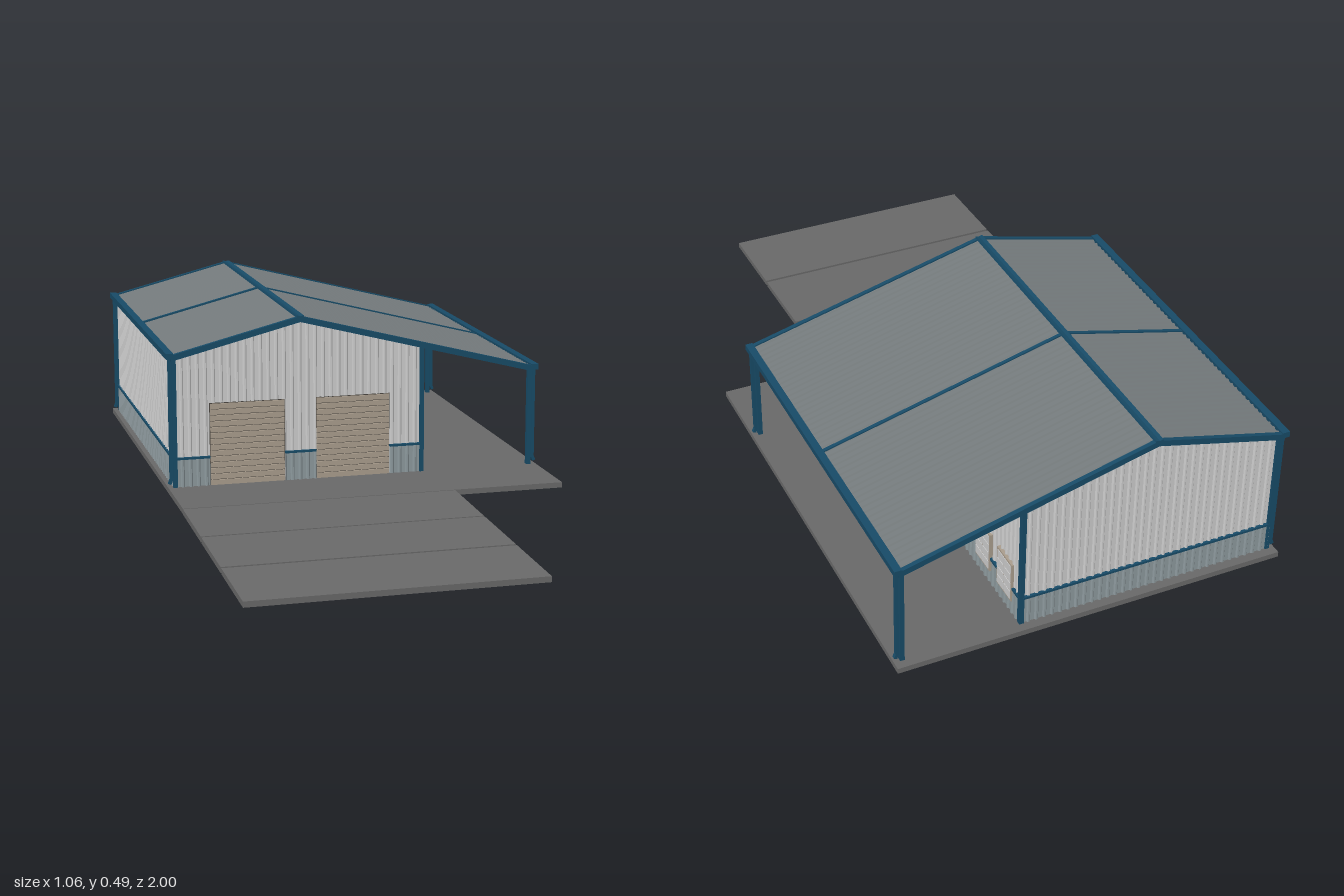
import * as THREE from 'three';

const material = (color, side = THREE.FrontSide) =>
  new THREE.MeshStandardMaterial({ color, side, flatShading: true });

// Main dimensions
const LEFT = -0.51, RIGHT = 0.19, FRONT = 0.015, BACK = -0.97, FLOOR = 0.03;
const RIDGE_X = -0.16, RIDGE_Y = 0.485, EAVE_L = -0.52, EAVE_R = 0.52;
const ROOF_FRONT = 0.025, ROOF_BACK = -0.98, BAND = 0.11, DOOR_TOP = 0.26;
const roofY = (x) => RIDGE_Y - Math.abs(x - RIDGE_X) * (x < RIDGE_X ? 0.255 : 0.257);
const V = (x, y, z) => new THREE.Vector3(x, y, z);

export function createModel() {
  const root = new THREE.Group();
  const blue = material(0x174a66), tan = material(0xa89c8c), dark = material(0x4a4640);
  const concrete = material(0x686868), glass = material(0xcccccc);
  const wallMat = material(0xcccccc, THREE.DoubleSide);
  const lowerMat = material(0x8c989c, THREE.DoubleSide);
  const roofMat = material(0x747a7c, THREE.DoubleSide);

  const add = (name, geometry, mat, parent = root) => {
    const mesh = new THREE.Mesh(geometry, mat);
    mesh.name = name;
    parent.add(mesh);
    return mesh;
  };
  const group = (name) => {
    const g = new THREE.Group();
    g.name = name;
    root.add(g);
    return g;
  };
  const box = (name, mat, x0, x1, y0, y1, z0, z1, parent) => {
    const m = add(name, new THREE.BoxGeometry(x1 - x0, y1 - y0, z1 - z0), mat, parent);
    m.position.set((x0 + x1) / 2, (y0 + y1) / 2, (z0 + z1) / 2);
    return m;
  };
  // Straight bar between two points
  const beam = (name, mat, p, q, w, h, parent) => {
    const m = add(name, new THREE.BoxGeometry(w, h, p.distanceTo(q)), mat, parent);
    m.position.copy(p).lerp(q, 0.5);
    m.lookAt(q);
    return m;
  };
  // Ribbed metal sheet between edge curves a(u) and b(u), ribs raised along n
  const sheet = (name, mat, u0, u1, a, b, n, parent, pitch = 0.022, depth = 0.004) => {
    const stops = [u0, u1];
    for (let k = Math.floor(u0 / pitch); k * pitch < u1; k++)
      for (const f of [0, 0.5, 0.65, 0.85]) {
        const u = (k + f) * pitch;
        if (u > u0 && u < u1) stops.push(u);
      }
    stops.sort((s, t) => s - t);
    const pos = [], index = [];
    stops.forEach((u, i) => {
      const f = u / pitch - Math.floor(u / pitch + 1e-6);
      const d = f > 0.6 && f < 0.9 ? depth : 0;
      for (const p of [a(u), b(u)]) pos.push(...p.addScaledVector(n, d).toArray());
      if (i) index.push(2 * i - 2, 2 * i, 2 * i - 1, 2 * i, 2 * i + 1, 2 * i - 1);
    });
    const g = new THREE.BufferGeometry();
    g.setAttribute('position', new THREE.Float32BufferAttribute(pos, 3));
    g.setIndex(index);
    g.computeVertexNormals();
    return add(name, g, mat, parent);
  };

  // Concrete floor and sloping driveway panels
  box('floorSlab', concrete, -0.53, 0.53, 0.015, FLOOR, -1, 0.237);
  const drive = group('driveway');
  const driveY = (z) => 0.023 - (z - 0.24) * 0.0195;
  for (const [z0, z1] of [[0.243, 0.489], [0.496, 0.741], [0.75, 1]])
    beam('drivewayPanel', concrete, V(-0.156, driveY(z0), z0), V(-0.156, driveY(z1), z1), 0.75, 0.015, drive);

  // Gable and side walls: upper sheets, darker lower panels and blue band
  const walls = group('walls');
  const endWall = (z, dir, x0, x1, y0) => {
    const n = V(0, 0, dir);
    for (const [s, t] of [[x0, Math.min(x1, RIDGE_X)], [Math.max(x0, RIDGE_X), x1]])
      if (t > s) sheet('gableSheet', wallMat, s, t, (x) => V(x, y0, z), (x) => V(x, roofY(x) - 0.004, z), n, walls);
    if (y0 > BAND) return;
    const zo = z + dir * 0.003;
    sheet('lowerPanel', lowerMat, x0, x1, (x) => V(x, FLOOR, zo), (x) => V(x, BAND, zo), n, walls);
    box('wallBand', blue, x0, x1, BAND - 0.003, BAND + 0.003, z - 0.008, z + 0.008, walls);
  };
  const sideWall = (x, dir, z0, z1, y0 = FLOOR) => {
    const n = V(dir, 0, 0), xo = x + dir * 0.003;
    sheet('sideSheet', wallMat, z0, z1, (z) => V(x, y0, z), (z) => V(x, roofY(x) - 0.004, z), n, walls);
    if (y0 > BAND) return;
    sheet('lowerPanel', lowerMat, z0, z1, (z) => V(xo, FLOOR, z), (z) => V(xo, BAND, z), n, walls);
    box('wallBand', blue, x - 0.008, x + 0.008, BAND - 0.003, BAND + 0.003, z0, z1, walls);
  };
  const bays = [[-0.413, -0.202], [-0.114, 0.097]];
  let x = LEFT;
  for (const [d0, d1] of bays) {
    endWall(FRONT, 1, x, d0, FLOOR);
    endWall(FRONT, 1, d0, d1, DOOR_TOP);
    x = d1;
  }
  endWall(FRONT, 1, x, RIGHT, FLOOR);
  endWall(BACK, -1, LEFT, RIGHT, FLOOR);
  sideWall(LEFT, -1, BACK, FRONT);
  sideWall(RIGHT, 1, BACK, -0.113);
  sideWall(RIGHT, 1, -0.113, -0.037, 0.185);
  sideWall(RIGHT, 1, -0.037, FRONT);

  // Roller doors made of stacked slats
  for (const [d0, d1] of bays) {
    const door = group('rollerDoor'), count = 14, h = (DOOR_TOP - FLOOR) / count;
    box('doorBacking', dark, d0, d1, FLOOR, DOOR_TOP, FRONT - 0.006, FRONT, door);
    for (let i = 0; i < count; i++) {
      const y = FLOOR + i * h;
      box('doorSlat', tan, d0 + 0.002, d1 - 0.002, y, y + h * 0.86, FRONT - 0.002, FRONT + 0.004, door);
    }
  }

  // Side door with a small window
  const door = group('sideDoor');
  box('doorFrame', dark, RIGHT - 0.005, RIGHT + 0.005, FLOOR, 0.185, -0.113, -0.037, door);
  box('doorLeaf', tan, RIGHT, RIGHT + 0.008, FLOOR, 0.181, -0.109, -0.041, door);
  box('doorWindowFrame', dark, RIGHT, RIGHT + 0.01, 0.121, 0.173, -0.097, -0.053, door);
  box('doorWindow', glass, RIGHT, RIGHT + 0.011, 0.125, 0.169, -0.093, -0.057, door);
  box('doorHandle', dark, RIGHT, RIGHT + 0.014, 0.094, 0.099, -0.103, -0.092, door);

  // Paned windows under the lean-to
  for (const z of [-0.2, -0.647, -0.768, -0.892]) {
    const win = group('window'), w = 0.082, y0 = 0.07, y1 = 0.185, rows = 4;
    box('windowFrame', tan, RIGHT - 0.008, RIGHT + 0.009, y0, y1, z - w / 2, z + w / 2, win);
    const pw = (w - 0.012) / 2, ph = (y1 - y0 - 0.008) / rows;
    for (let i = 0; i < 2; i++)
      for (let j = 0; j < rows; j++) {
        const zc = z + (i - 0.5) * (pw + 0.003), yb = y0 + 0.004 + j * ph;
        box('windowPane', glass, RIGHT - 0.009, RIGHT + 0.0105, yb + 0.0015, yb + ph - 0.0015, zc - pw / 2, zc + pw / 2, win);
      }
  }

  // Ribbed roof slopes, the right one running on over the lean-to
  const roof = group('roof');
  for (const e of [EAVE_L, EAVE_R]) {
    sheet('roofSheet', roofMat, ROOF_BACK, ROOF_FRONT,
      (z) => V(RIDGE_X, RIDGE_Y, z), (z) => V(e, roofY(e), z), V(0, 1, 0), roof, 0.02, 0.004);
    // Edge trims and the middle joint strip
    for (const z of [ROOF_FRONT, ROOF_BACK])
      beam('bargeTrim', blue, V(RIDGE_X, RIDGE_Y - 0.002, z), V(e, roofY(e) - 0.002, z), 0.012, 0.016, roof);
    beam('roofJoint', blue, V(RIDGE_X, RIDGE_Y, -0.483), V(e, roofY(e), -0.483), 0.01, 0.012, roof);
    // Gutter along the eave
    const s = Math.sign(e), y = roofY(e);
    const gx = [e - 0.012, e + 0.008].map((v) => v + (s > 0 ? 0.002 : 0));
    box('gutter', blue, gx[0], gx[1], y - 0.004, y + 0.012, ROOF_BACK - 0.006, ROOF_FRONT + 0.006, roof);
  }
  for (const s of [-1, 1])
    beam('ridgeCap', blue, V(RIDGE_X + s * 0.005, RIDGE_Y + 0.004, ROOF_BACK - 0.006),
      V(RIDGE_X + s * 0.005, RIDGE_Y + 0.004, ROOF_FRONT + 0.006), 0.011, 0.006, roof).rotateZ(s * 0.25);

  // Corner trims, lean-to posts and downpipes with kicked feet
  const frame = group('frame');
  for (const z of [FRONT, BACK]) {
    for (const cx of [LEFT, RIGHT])
      box('cornerTrim', blue, cx - 0.006, cx + 0.006, FLOOR, roofY(cx) - 0.004, z - 0.007, z + 0.007, frame);
    box('leanToPost', blue, 0.502, 0.514, FLOOR, roofY(0.51), z - 0.007, z + 0.007, frame);
    for (const e of [EAVE_L, EAVE_R]) {
      const s = Math.sign(e), px = s > 0 ? 0.52 : -0.521;
      box('downpipe', blue, px - 0.0045, px + 0.0045, 0.05, roofY(e), z - 0.005, z + 0.005, frame);
      beam('downpipeFoot', blue, V(px, 0.053, z), V(px + s * 0.005, 0.04, z), 0.01, 0.009, frame);
    }
  }
  return root;
}
